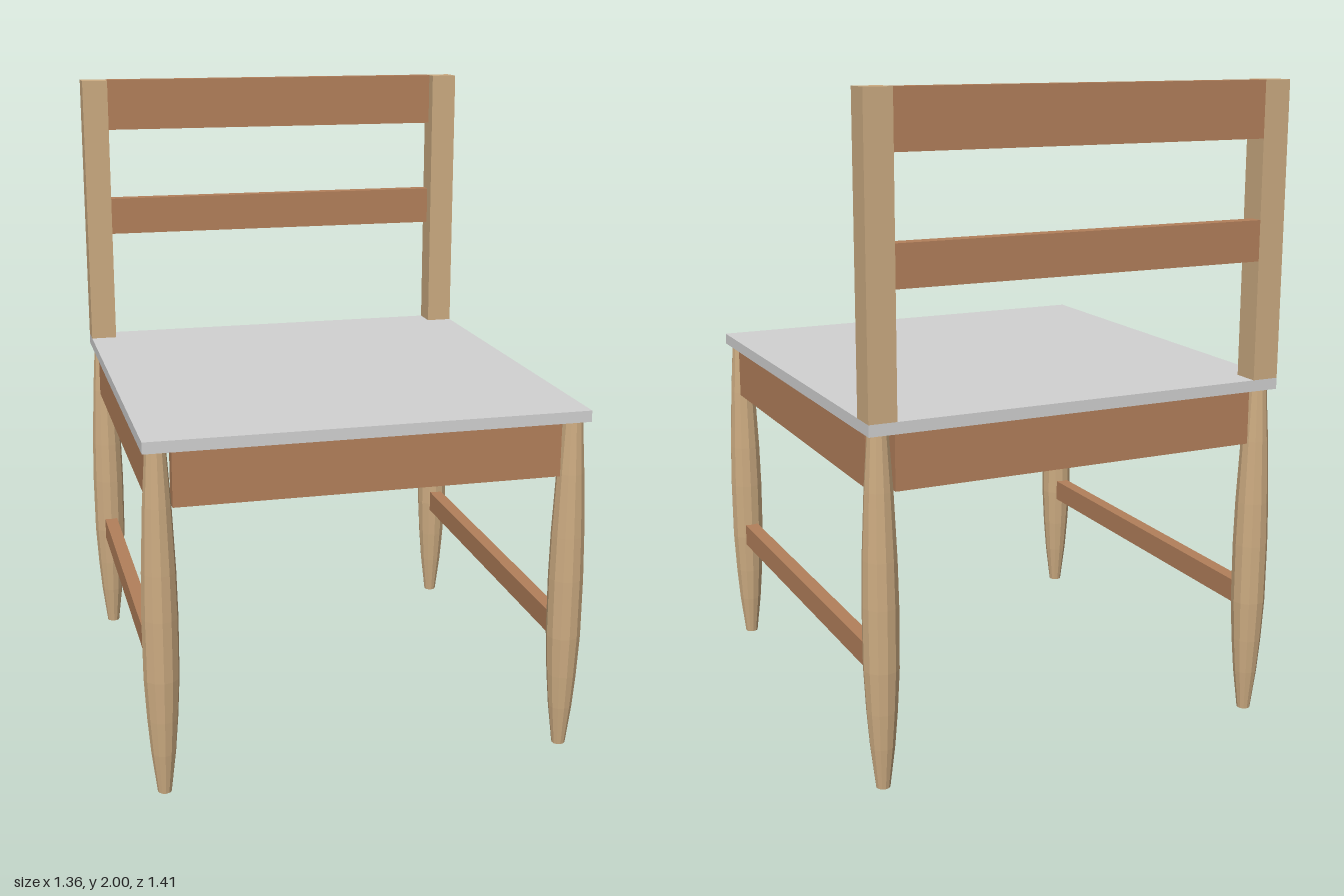
import * as THREE from 'three';

export function createModel() {
  const model = new THREE.Group();
  model.name = 'chair';

  const material = (name, color, flatShading = false) => {
    const m = new THREE.MeshStandardMaterial({ color, flatShading });
    m.name = name;
    return m;
  };
  const paleWood = material('pale wood', 0xcdac82, true);
  const brownWood = material('brown wood', 0xb3805b);
  const greySeat = material('grey seat', 0xd2d2d2);

  const add = (name, geometry, mat, x, y, z) => {
    const mesh = new THREE.Mesh(geometry, mat);
    mesh.name = name;
    mesh.position.set(x, y, z);
    model.add(mesh);
  };
  // Box given by its size, its bottom height and its centre in plan
  const box = (name, mat, w, h, d, x, bottom, z) =>
    add(name, new THREE.BoxGeometry(w, h, d), mat, x, bottom + h / 2, z);

  const legX = 0.628, legZ = 0.653, post = 0.085, rail = 0.043;
  const seatBottom = 1.065, seatTop = 1.1;
  const spanX = 2 * legX - post, spanZ = 2 * legZ - post;

  // Seat board
  box('seat', greySeat, 1.341, seatTop - seatBottom, 1.391, 0, seatBottom, 0);

  // Turned legs, closed at both ends
  const profile = [
    [0, 0], [0.021, 0], [0.037, 0.13], [0.046, 0.24], [0.053, 0.37], [0.054, 0.56],
    [0.051, 0.7], [0.042, 0.9], [0.031, seatBottom], [0, seatBottom],
  ].map(([r, y]) => new THREE.Vector2(r, y));
  const leg = new THREE.LatheGeometry(profile, 12);

  for (const [side, sx] of [['left', 1], ['right', -1]]) {
    for (const [end, sz] of [['Front', 1], ['Back', -1]]) {
      add(`${side}${end}Leg`, leg, paleWood, sx * legX, 0, sz * legZ);
    }
    // Back post, side apron and low stretcher
    box(`${side}BackPost`, paleWood, post, 2 - seatTop, post, sx * legX, seatTop, -legZ);
    box(`${side}Apron`, brownWood, rail, 0.17, spanZ, sx * legX, 0.895, 0);
    box(`${side}Stretcher`, brownWood, rail, 0.073, spanZ, sx * legX, 0.345, 0);
  }

  // Front and back aprons
  box('frontApron', brownWood, spanX, 0.17, rail, 0, 0.895, legZ);
  box('backApron', brownWood, spanX, 0.17, rail, 0, 0.895, -legZ);

  // Backrest slats, flush with the rear of the posts
  const slatZ = -legZ - post / 2 + 0.0225;
  box('topSlat', brownWood, spanX, 0.17, 0.045, 0, 1.83, slatZ);
  box('middleSlat', brownWood, spanX, 0.124, 0.045, 0, 1.466, slatZ);

  return model;
}
